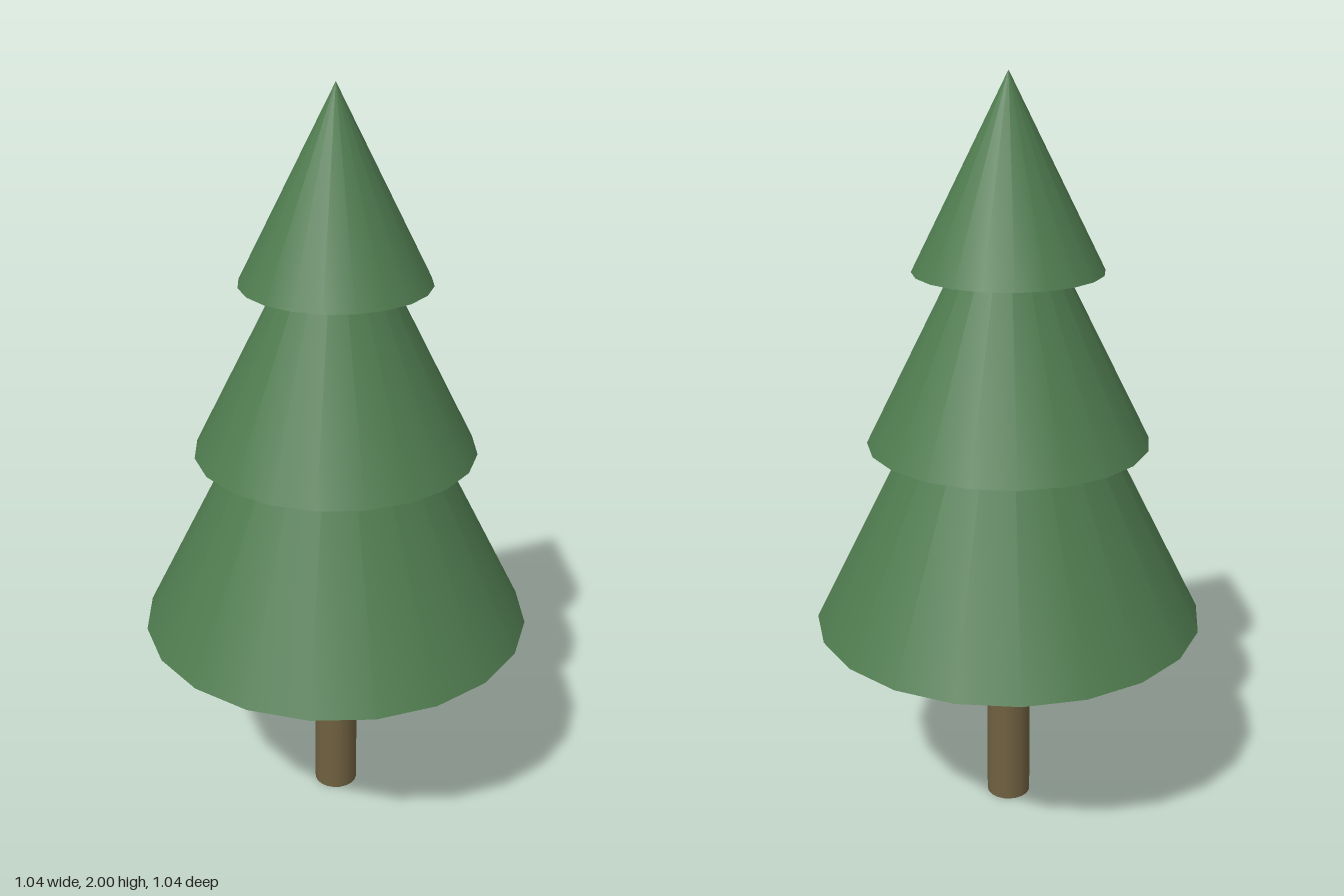
import * as THREE from 'three';

const SIDES = 20;

export function createModel() {
  const tree = new THREE.Group();
  tree.name = 'pineTree';
  const leaf = new THREE.MeshStandardMaterial({ color: 0x4f7b4f });
  const bark = new THREE.MeshStandardMaterial({ color: 0x6f6040 });

  // Trunk, reaching just inside the lowest tier
  const trunkHeight = 0.6;
  const trunk = new THREE.Mesh(new THREE.CylinderGeometry(0.06, 0.06, trunkHeight, SIDES), bark);
  trunk.name = 'trunk';
  trunk.position.y = trunkHeight / 2;
  tree.add(trunk);

  // Closed foliage cones, each overlapping the one below
  const tiers = [
    { name: 'lowerFoliage', base: 0.567, radius: 0.52, height: 1.035 },
    { name: 'middleFoliage', base: 1.064, radius: 0.37, height: 0.737 },
    { name: 'upperFoliage', base: 1.513, radius: 0.245, height: 0.487 },
  ];
  for (const { name, base, radius, height } of tiers) {
    const cone = new THREE.Mesh(new THREE.ConeGeometry(radius, height, SIDES), leaf);
    cone.name = name;
    cone.position.y = base + height / 2;
    tree.add(cone);
  }
  return tree;
}
